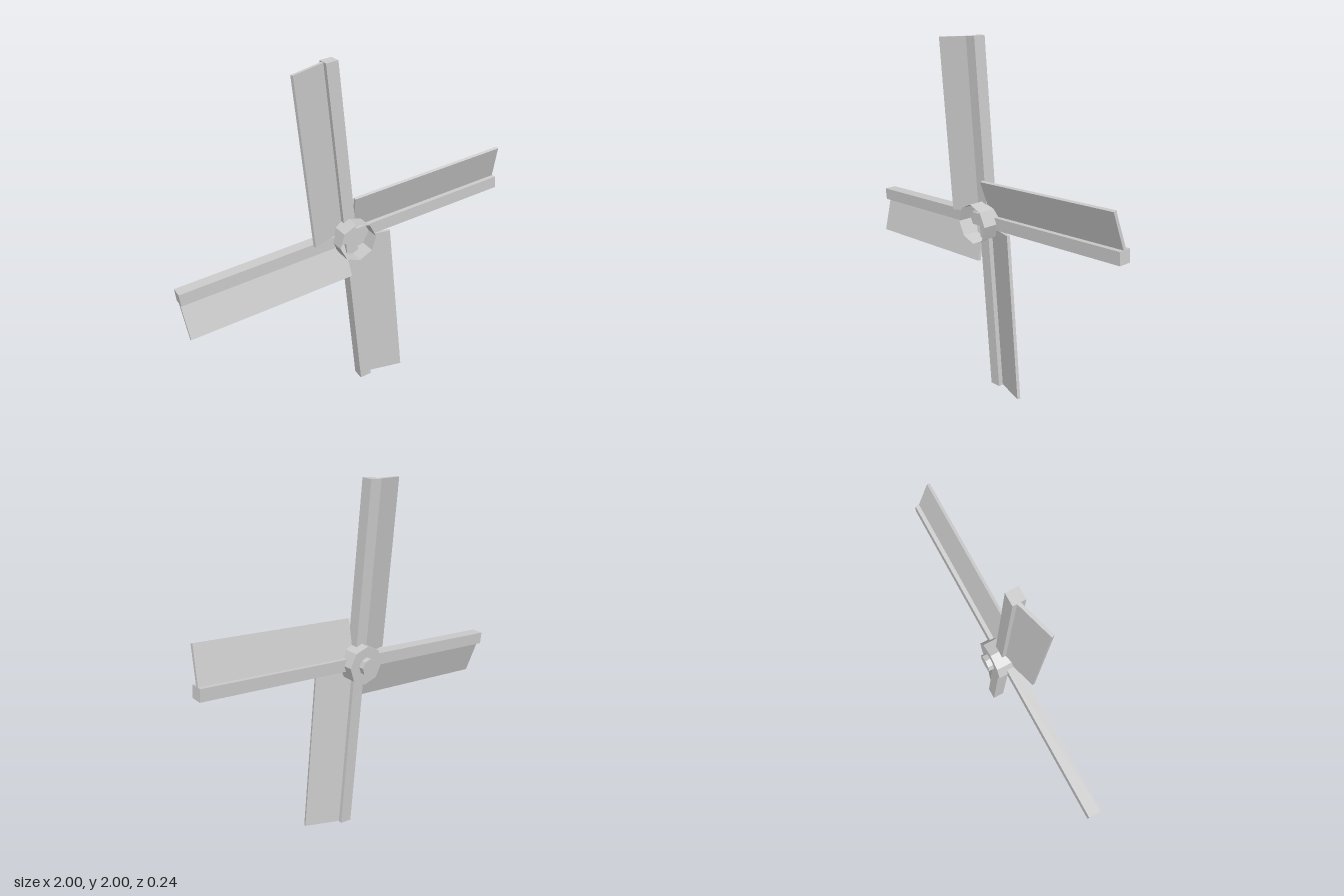
import * as THREE from 'three';

const SIDES = 8;

export function createModel() {
  const model = new THREE.Group();
  model.name = 'windmillSails';
  const grey = new THREE.MeshStandardMaterial({ color: 0xcccccc, flatShading: true });
  const greyOpen = new THREE.MeshStandardMaterial({ color: 0xcccccc, flatShading: true, side: THREE.DoubleSide });

  const add = (parent, name, geometry, material = grey) => {
    const mesh = new THREE.Mesh(geometry, material);
    mesh.name = name;
    parent.add(mesh);
    return mesh;
  };

  const rotor = new THREE.Group();
  rotor.name = 'rotor';
  rotor.position.y = 1;
  rotor.rotation.z = 0.108;
  model.add(rotor);

  // Four arms, each a square spar with a pitched board along one side
  for (let i = 0; i < 4; i++) {
    const arm = new THREE.Group();
    arm.name = 'arm' + (i + 1);
    arm.rotation.z = i * Math.PI / 2;
    rotor.add(arm);

    add(arm, 'spar', new THREE.BoxGeometry(1.002, 0.07, 0.07)).position.x = 0.501;

    const sail = add(arm, 'sail', new THREE.BoxGeometry(0.965, 0.24, 0.018));
    sail.position.set(0.5175, 0.12, 0.023);
    sail.rotation.x = 0.29;
  }

  // Octagonal hub shell, open at the front and closed at the back
  const shell = new THREE.CylinderGeometry(0.112, 0.112, 0.206, SIDES, 1, true).rotateX(Math.PI / 2);
  add(rotor, 'hubShell', shell, greyOpen).position.z = 0.015;

  const plate = new THREE.CircleGeometry(0.112, SIDES).rotateY(Math.PI);
  add(rotor, 'hubBackPlate', plate, greyOpen).position.z = -0.088;

  // Axle stub behind the hub
  const axle = new THREE.CylinderGeometry(0.05, 0.05, 0.034, SIDES).rotateX(Math.PI / 2);
  add(rotor, 'axle', axle).position.z = -0.101;

  return model;
}
